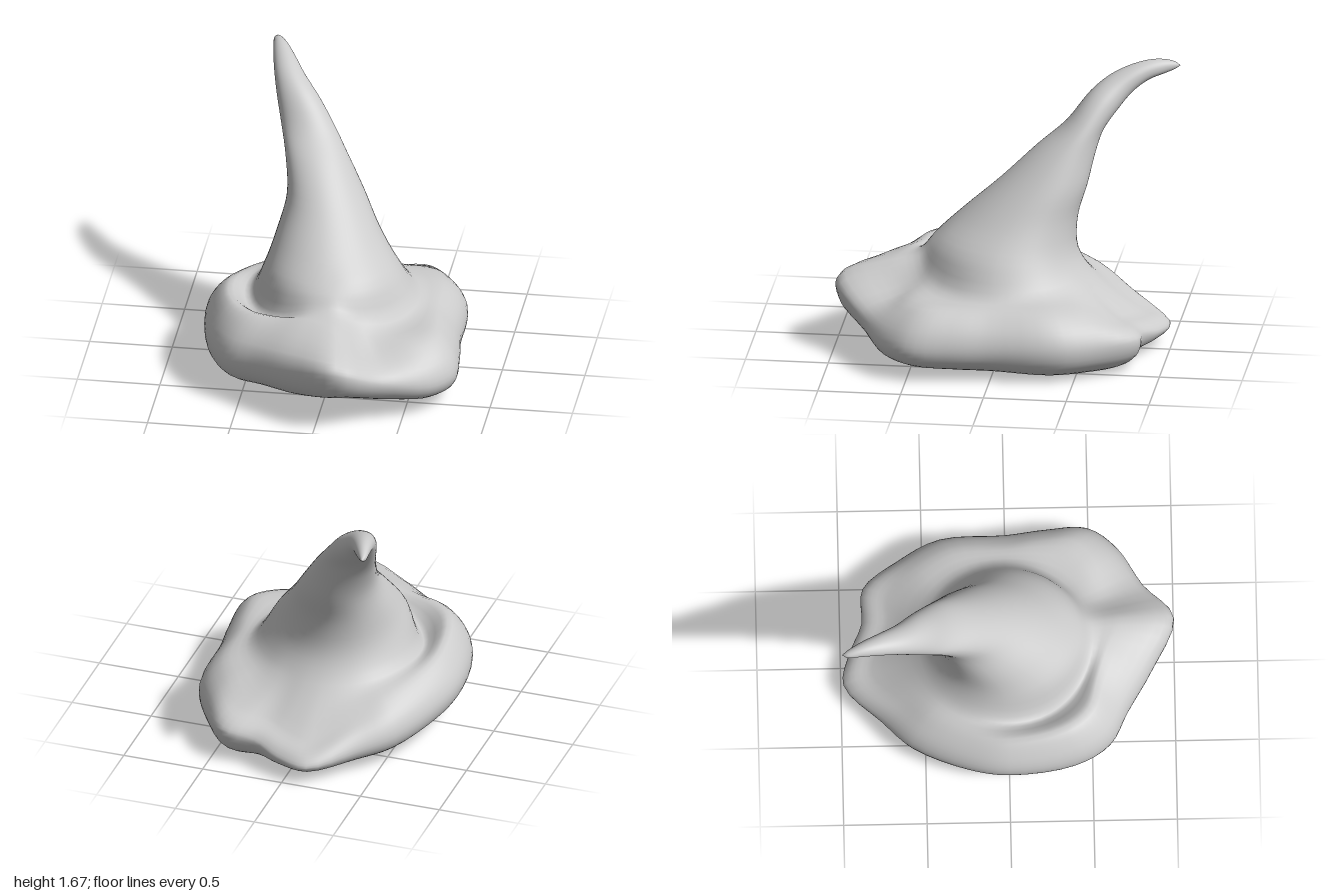
import * as THREE from 'three';
import { mergeVertices } from 'three/addons/utils/BufferGeometryUtils.js';

// Brim outline, clockwise from above:
// [x, z, edge height, crest height, underside height, height where the crown begins]
const BRIM = [
  [0.75, 0, 0.2, 0.4, 0.04, 0.44], [0.78, 0.25, 0.2, 0.41, 0.05, 0.44],
  [0.785, 0.5, 0.2, 0.42, 0.06, 0.44], [0.66, 0.67, 0.2, 0.41, 0.07, 0.45],
  [0.4, 0.82, 0.27, 0.39, 0.11, 0.49], [0.14, 1.0, 0.4, 0.53, 0.17, 0.57],
  [-0.15, 0.87, 0.35, 0.55, 0.12, 0.56], [-0.4, 0.72, 0.3, 0.53, 0.1, 0.49],
  [-0.6, 0.61, 0.27, 0.53, 0.09, 0.45], [-0.73, 0.4, 0.28, 0.53, 0.1, 0.43],
  [-0.79, 0, 0.29, 0.49, 0.12, 0.45], [-0.74, -0.25, 0.26, 0.45, 0.1, 0.46],
  [-0.58, -0.58, 0.2, 0.39, 0.06, 0.45], [-0.4, -0.76, 0.16, 0.32, 0.05, 0.44],
  [-0.15, -0.985, 0.12, 0.22, 0.05, 0.44], [0.05, -0.945, 0.13, 0.24, 0.04, 0.44],
  [0.22, -0.87, 0.17, 0.27, 0.02, 0.44], [0.43, -0.86, 0.2, 0.3, 0.01, 0.45],
  [0.6, -0.65, 0.2, 0.38, 0.01, 0.45], [0.73, -0.4, 0.2, 0.4, 0.02, 0.45],
];

// Crown sections: [left x, right x, front y, front z, back y, back z]
const CROWN = [
  [-0.44, 0.375, 0.66, 0.43, 0.6, -0.44], [-0.38, 0.25, 0.81, 0.27, 0.8, -0.435],
  [-0.335, 0.13, 1.0, 0.05, 1.0, -0.49], [-0.365, 0.01, 1.2, -0.17, 1.18, -0.53],
  [-0.405, -0.08, 1.34, -0.34, 1.3, -0.57], [-0.45, -0.19, 1.51, -0.48, 1.41, -0.65],
  [-0.48, -0.29, 1.6, -0.6, 1.5, -0.73], [-0.505, -0.37, 1.66, -0.75, 1.56, -0.82],
  [-0.52, -0.43, 1.675, -0.87, 1.59, -0.91], [-0.525, -0.48, 1.655, -0.965, 1.61, -0.97],
];

const COLS = 80, STEPS = 4;
const closedCurve = (f) => new THREE.CatmullRomCurve3(BRIM.map(f), true, 'centripetal');

// One strip of the hat, from the middle of the underside over the brim to the tip
function hatColumn({ x, y, z }, { x: crest, y: under, z: base }) {
  const angle = Math.atan2(z, x), c = Math.cos(angle), s = Math.sin(angle);
  const front = Math.max(0, s) ** 4;
  const at = (k, h) => new THREE.Vector3(x * k, h, z * k);
  const pts = [
    at(0, 0.1), at(0.45, 0.04 + under * 0.5), at(0.82, under),
    at(0.965, under + (y - under) * 0.4), at(1, y),
    at(0.95, y + (crest - y) * (0.53 - 0.08 * front)), at(0.82 - 0.14 * front, crest),
    // where the crown meets the brim
    new THREE.Vector3(-0.015 + 0.515 * c, base, -0.01 + 0.525 * s),
  ];
  for (const [x0, x1, fy, fz, by, bz] of CROWN) {
    pts.push(new THREE.Vector3(
      (x0 + x1) / 2 + (x1 - x0) / 2 * c,
      (fy + by) / 2 + (fy - by) / 2 * s,
      (fz + bz) / 2 + (fz - bz) / 2 * s));
  }
  pts.push(new THREE.Vector3(-0.507, 1.63, -1));
  const curve = new THREE.CatmullRomCurve3(pts, false, 'centripetal');
  return curve.getPoints((pts.length - 1) * STEPS);
}

function hatGeometry() {
  const edge = closedCurve(([x, z, e]) => new THREE.Vector3(x, e, z));
  const heights = closedCurve(([, , , crest, under, base]) => new THREE.Vector3(crest, under, base));
  const pos = [], index = [];
  let rows = 0;
  for (let i = 0; i < COLS; i++) {
    // same curve parameter for outline and heights keeps them in step
    const column = hatColumn(edge.getPoint(i / COLS), heights.getPoint(i / COLS));
    rows = column.length;
    column.forEach((p) => pos.push(p.x, p.y, p.z));
  }
  for (let i = 0; i < COLS; i++) {
    const a = i * rows, b = ((i + 1) % COLS) * rows;
    for (let j = 0; j < rows - 1; j++) {
      // single triangles at the middle of the underside and at the tip
      if (j > 0) index.push(a + j, a + j + 1, b + j);
      if (j < rows - 2) index.push(b + j, a + j + 1, b + j + 1);
    }
  }
  const g = new THREE.BufferGeometry();
  g.setAttribute('position', new THREE.Float32BufferAttribute(pos, 3));
  g.setIndex(index);
  const merged = mergeVertices(g, 1e-5);
  merged.computeVertexNormals();
  return merged;
}

export function createModel() {
  const group = new THREE.Group();
  group.name = 'pointedHat';
  const hat = new THREE.Mesh(hatGeometry(), new THREE.MeshStandardMaterial({ color: 0xcccccc }));
  hat.name = 'brimAndCrown';
  group.add(hat);
  return group;
}
